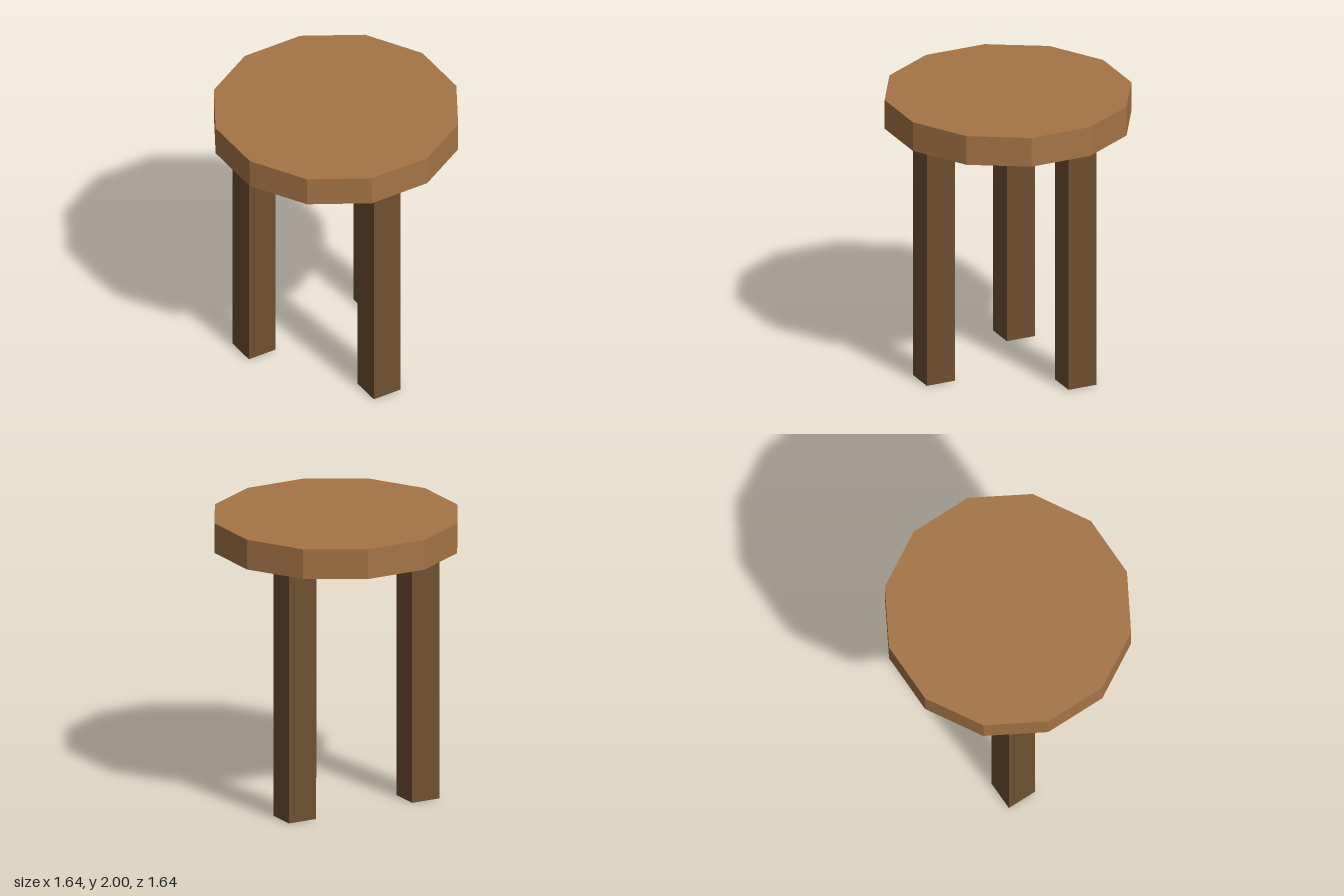
import * as THREE from 'three';

export function createModel() {
  const model = new THREE.Group();
  model.name = 'stool';

  const seatWood = new THREE.MeshStandardMaterial({ name: 'light wood', color: 0xa47446, flatShading: true });
  const legWood = new THREE.MeshStandardMaterial({ name: 'dark wood', color: 0x6e4f2f, flatShading: true });

  // Twelve-sided seat, with flat sides facing front, back, left and right
  const seatHeight = 0.21;
  const seat = new THREE.Mesh(new THREE.CylinderGeometry(0.85, 0.85, seatHeight, 12), seatWood);
  seat.name = 'seat';
  seat.rotation.y = Math.PI / 12;
  seat.position.y = 2 - seatHeight / 2;
  model.add(seat);

  // Three square legs spaced evenly around a circle, all squared to the front
  const legHeight = 2 - seatHeight;
  const legGeometry = new THREE.BoxGeometry(0.212, legHeight, 0.212);
  ['frontLeg', 'backLeftLeg', 'backRightLeg'].forEach((name, i) => {
    const angle = (i * 2 * Math.PI) / 3;
    const leg = new THREE.Mesh(legGeometry, legWood);
    leg.name = name;
    leg.position.set(0.555 * Math.sin(angle), legHeight / 2, 0.555 * Math.cos(angle));
    model.add(leg);
  });

  return model;
}
